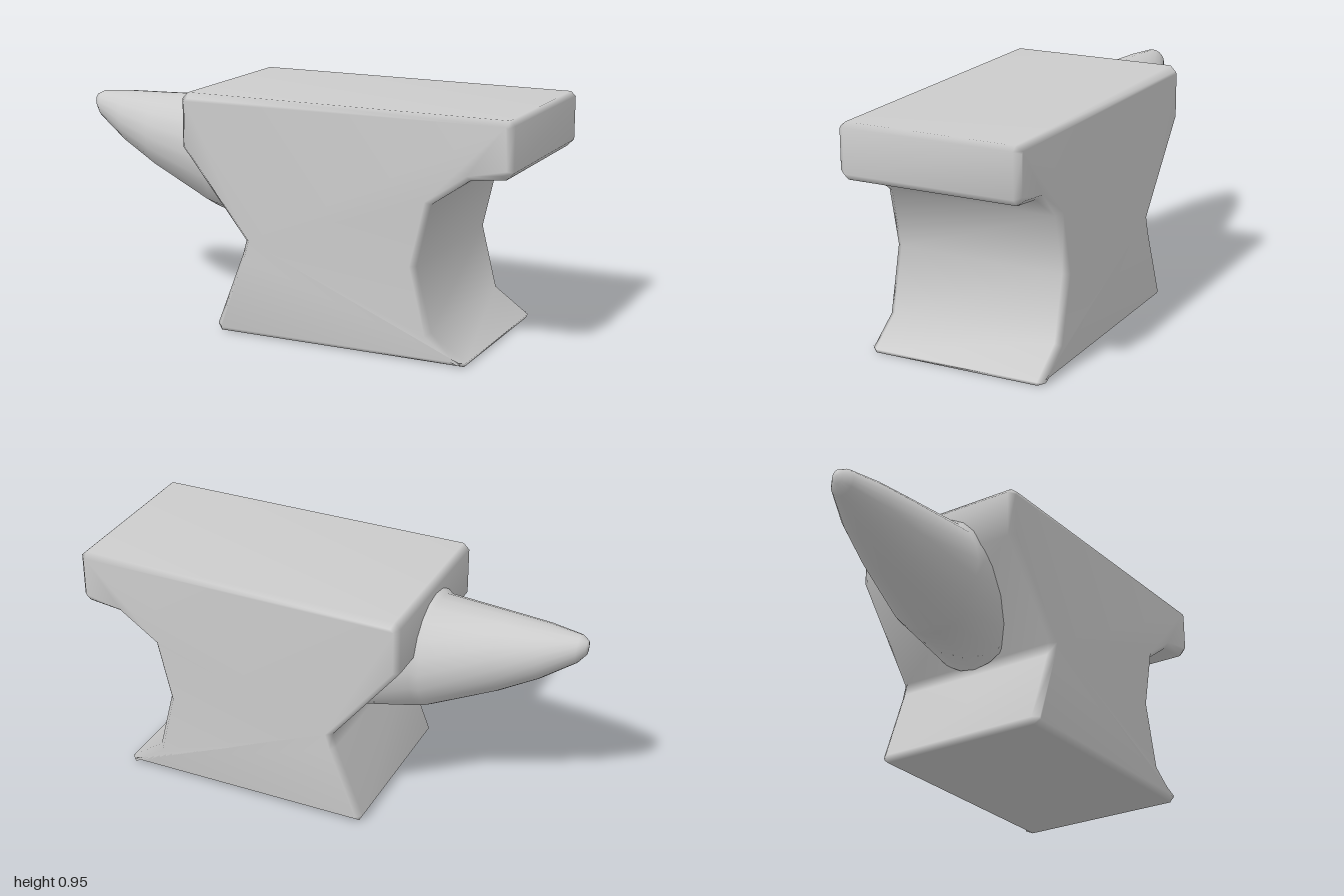
import * as THREE from 'three';
import { mergeVertices } from 'three/addons/utils/BufferGeometryUtils.js';

const material = new THREE.MeshStandardMaterial({ color: 0xcccccc });

// Share vertices so the shading runs smoothly over the edges
function smooth(geometry) {
  geometry.deleteAttribute('uv');
  geometry.deleteAttribute('normal');
  const merged = mergeVertices(geometry, 1e-4);
  merged.computeVertexNormals();
  return merged;
}

function makeBody() {
  // Side profile: foot, waist, heel overhang, face, horn-side slope
  const profile = [
    [-0.215, 0.003], [0.82, 0.003], [0.827, 0.018], [0.685, 0.118], [0.622, 0.37], [0.677, 0.612],
    [0.83, 0.718], [0.968, 0.734], [0.996, 0.762], [0.996, 0.935], [0.976, 0.953],
    [-0.355, 0.953], [-0.38, 0.928], [-0.38, 0.735], [-0.1, 0.385], [-0.115, 0.33], [-0.23, 0.03],
  ].map(([x, y]) => new THREE.Vector2(x, y));
  const bevel = 0.025, halfDepth = 0.371;
  const geometry = new THREE.ExtrudeGeometry(new THREE.Shape(profile), {
    depth: 2 * (halfDepth - bevel), bevelEnabled: true, bevelSegments: 1,
    bevelThickness: bevel, bevelSize: bevel * 0.8, bevelOffset: -bevel * 0.8,
  });
  geometry.translate(0, 0, bevel - halfDepth);
  return smooth(geometry);
}

function makeHorn() {
  // Cross-sections: x, bottom y, top y, half width
  const sections = [
    [-1.0, 0.815, 0.825, 0.004], [-0.995, 0.785, 0.845, 0.025], [-0.965, 0.748, 0.86, 0.055],
    [-0.83, 0.652, 0.87, 0.115], [-0.67, 0.56, 0.875, 0.16], [-0.4, 0.432, 0.885, 0.222],
    [-0.365, 0.42, 0.918, 0.232], [-0.11, 0.357, 0.88, 0.23],
  ];
  const sides = 20, positions = [], index = [];
  for (const [x, low, high, halfWidth] of sections) {
    for (let j = 0; j < sides; j++) {
      const a = (j / sides) * Math.PI * 2;
      positions.push(x, (low + high) / 2 + Math.cos(a) * (high - low) / 2, Math.sin(a) * halfWidth);
    }
  }
  for (let i = 0; i < sections.length - 1; i++) {
    for (let j = 0; j < sides; j++) {
      const k = (j + 1) % sides;
      const a = i * sides + j, b = i * sides + k, c = a + sides, d = b + sides;
      index.push(a, b, c, b, d, c);
    }
  }
  // Close the tip and the root
  const last = (sections.length - 1) * sides;
  for (let j = 1; j < sides - 1; j++) {
    index.push(0, j + 1, j, last, last + j, last + j + 1);
  }
  const geometry = new THREE.BufferGeometry();
  geometry.setAttribute('position', new THREE.Float32BufferAttribute(positions, 3));
  geometry.setIndex(index);
  geometry.computeVertexNormals();
  return geometry;
}

export function createModel() {
  const group = new THREE.Group();
  group.name = 'anvil';
  for (const [name, geometry] of [['body', makeBody()], ['horn', makeHorn()]]) {
    const mesh = new THREE.Mesh(geometry, material);
    mesh.name = name;
    group.add(mesh);
  }
  return group;
}
